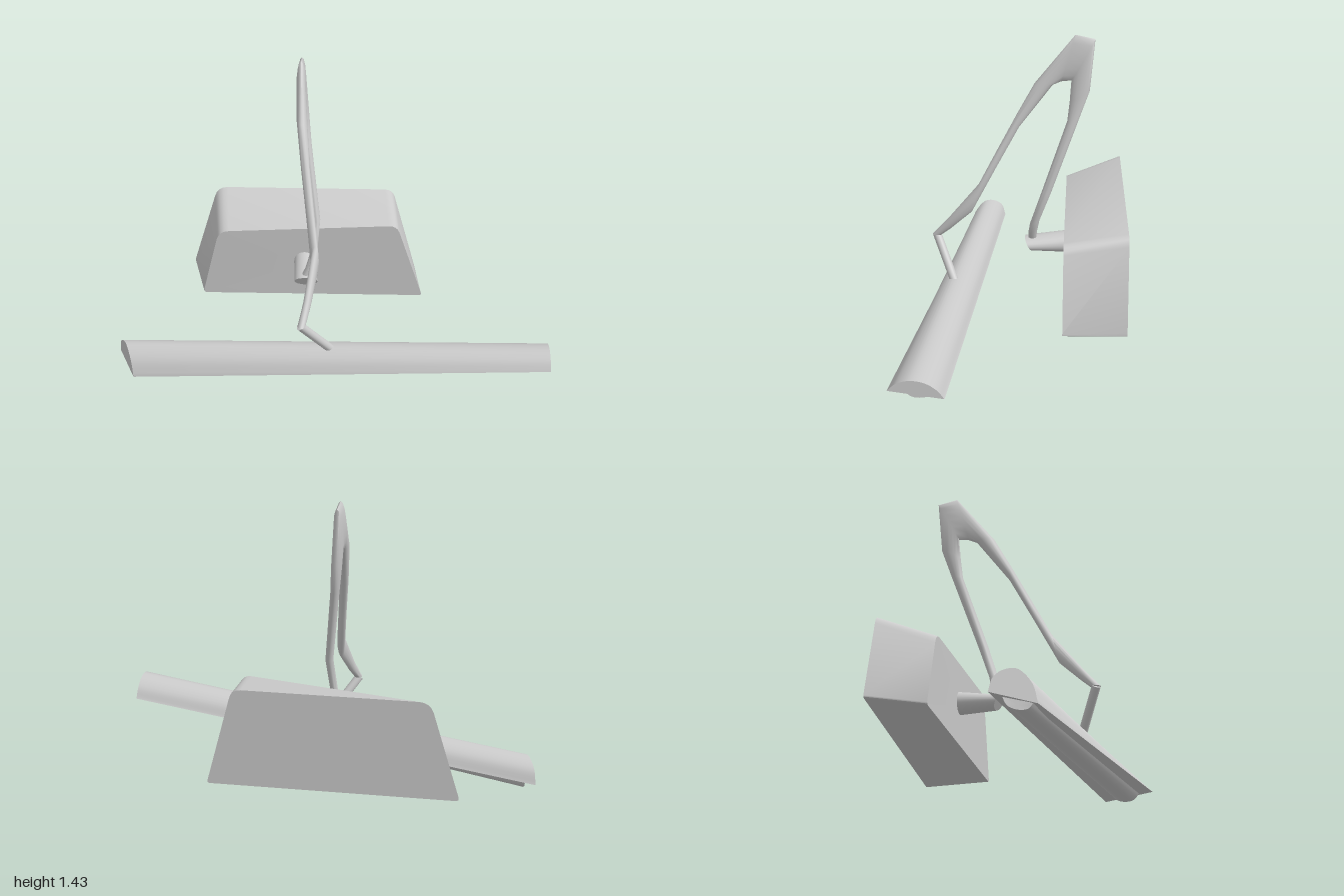
import * as THREE from 'three';
import { toCreasedNormals } from 'three/addons/utils/BufferGeometryUtils.js';

const V = (x, y, z) => new THREE.Vector3(x, y, z);

// Skin a list of equal-length rings of points and close both ends.
function loft(name, rings, crease = 0.7) {
  const n = rings[0].length;
  const tris = [];
  for (let i = 0; i < rings.length - 1; i++) {
    for (let j = 0; j < n; j++) {
      const k = (j + 1) % n;
      const [a, b, c, d] = [rings[i][j], rings[i][k], rings[i + 1][k], rings[i + 1][j]];
      tris.push([a, b, c], [a, c, d]);
    }
  }
  const cap = (ring, flip) => {
    const mid = ring.reduce((s, p) => s.add(p), V(0, 0, 0)).divideScalar(n);
    ring.forEach((p, j) => {
      const q = ring[(j + 1) % n];
      tris.push(flip ? [mid, q, p] : [mid, p, q]);
    });
  };
  cap(rings[0], true);
  cap(rings[rings.length - 1], false);
  // Turn the faces outward if the enclosed volume comes out negative
  const volume = tris.reduce((s, [a, b, c]) => s + a.dot(b.clone().cross(c)), 0);
  const points = tris.flatMap(([a, b, c]) => (volume < 0 ? [a, c, b] : [a, b, c]));
  const geometry = new THREE.BufferGeometry().setFromPoints(points);
  const mesh = new THREE.Mesh(
    toCreasedNormals(geometry, crease),
    new THREE.MeshStandardMaterial({ color: 0xcccccc })
  );
  mesh.name = name;
  return mesh;
}

// Oval ring around a centre, spanned by two half axes
const oval = (c, u, v, n = 16) =>
  Array.from({ length: n }, (_, i) => {
    const a = (i / n) * Math.PI * 2;
    return c.clone().addScaledVector(u, Math.cos(a)).addScaledVector(v, Math.sin(a));
  });

// Polygon with softened corners
function rounded(corners, radii) {
  return corners.flatMap((p, i) => {
    const toward = (q) => p.clone().add(q.clone().sub(p).setLength(radii[i]));
    const a = toward(corners[(i + corners.length - 1) % corners.length]);
    const b = toward(corners[(i + 1) % corners.length]);
    return new THREE.QuadraticBezierCurve3(a, p, b).getPoints(4);
  });
}

// Smooth open section through a few points; its closing side stays flat
const section = (pts, n) => new THREE.CatmullRomCurve3(pts.map((p) => V(...p))).getPoints(n);

export function createModel() {
  const model = new THREE.Group();
  model.name = 'lamp';

  // Base: leaning trapezoid block
  const radii = [0.02, 0.05, 0.04, 0.015];
  const back = [V(-0.7, 0.2, -0.515), V(-0.565, 0.64, -0.515), V(0.3, 0.64, -0.515), V(0.42, 0.195, -0.515)];
  const front = [V(-0.63, 0.18, -0.265), V(-0.54, 0.54, -0.255), V(0.32, 0.607, -0.222), V(0.45, 0.215, -0.22)];
  model.add(loft('base', [rounded(back, radii), rounded(front, radii)], 0.6));

  // Socket: short tapered stub with a slanted mouth
  model.add(loft('socket', [
    oval(V(-0.125, 0.388, -0.27), V(0.052, 0, 0), V(0, 0.055, 0), 24),
    oval(V(-0.11, 0.385, -0.067), V(0.055, 0, 0), V(0, 0.03, 0.018), 24),
  ]));

  // Arm: one bent loop; each row is outer z, y, inner z, y, centre x, half thickness
  const armRows = [
    [0.39, 0.43, 0.345, 0.43, -0.11, 0.018],
    [0.31, 0.53, 0.30, 0.475, -0.088, 0.018],
    [0.166, 0.725, 0.2, 0.58, -0.056, 0.018],
    [0.08, 0.89, 0.09, 0.79, -0.08, 0.019],
    [-0.01, 1.06, -0.02, 0.995, -0.105, 0.02],
    [-0.09, 1.205, -0.174, 1.2, -0.124, 0.024],
    [-0.27, 1.435, -0.21, 1.21, -0.133, 0.021],
    [-0.36, 1.415, -0.256, 1.215, -0.133, 0.021],
    [-0.34, 1.17, -0.25, 1.12, -0.12, 0.022],
    [-0.292, 1.03, -0.24, 1.025, -0.108, 0.02],
    [-0.17, 0.68, -0.125, 0.68, -0.062, 0.018],
    [-0.117, 0.525, -0.073, 0.51, -0.075, 0.018],
    [-0.105, 0.45, -0.065, 0.45, -0.095, 0.018],
    [-0.105, 0.395, -0.065, 0.395, -0.12, 0.018],
  ];
  model.add(loft('arm', armRows.map(([oz, oy, iz, iy, x, t]) => {
    const outer = V(x, oy, oz);
    const inner = V(x, iy, iz);
    return oval(outer.clone().lerp(inner, 0.5), outer.clone().sub(inner).multiplyScalar(0.5), V(t, 0, 0));
  }), 1));

  // Stem joining the arm to the shade
  const top = V(-0.115, 0.43, 0.37);
  const bottom = V(0.025, 0.24, 0.28);
  const axis = bottom.clone().sub(top).normalize();
  const side = V(0, 0, 1).cross(axis).setLength(0.02);
  const up = axis.clone().cross(side);
  model.add(loft('stem', [oval(top, side, up), oval(bottom, side, up)]));

  // Shade: domed bar with a flat underside, tapered and cut at a slant
  const slant = (y, z) => [-1 + 0.48 * (z - 0.062), y, z];
  model.add(loft('shade', [
    section([
      slant(0.055, 0.062), slant(0.12, 0.08), slant(0.158, 0.125),
      slant(0.163, 0.17), slant(0.11, 0.22), slant(0.03, 0.24),
    ], 20),
    section([
      [1, 0.27, 0.275], [1, 0.315, 0.308], [1, 0.35, 0.36],
      [1, 0.36, 0.42], [1, 0.345, 0.475], [1, 0.31, 0.513],
    ], 20),
  ]));

  // Tube light half sunk into the underside
  model.add(loft('tubeLight', [
    section([[-0.95, 0.06, 0.105], [-0.945, 0.018, 0.125], [-0.93, 0.003, 0.165], [-0.915, 0.012, 0.205], [-0.91, 0.045, 0.225]], 14),
    section([[0.97, 0.285, 0.315], [0.97, 0.264, 0.34], [0.97, 0.255, 0.38], [0.97, 0.264, 0.42], [0.97, 0.3, 0.45]], 14),
  ]));

  return model;
}
